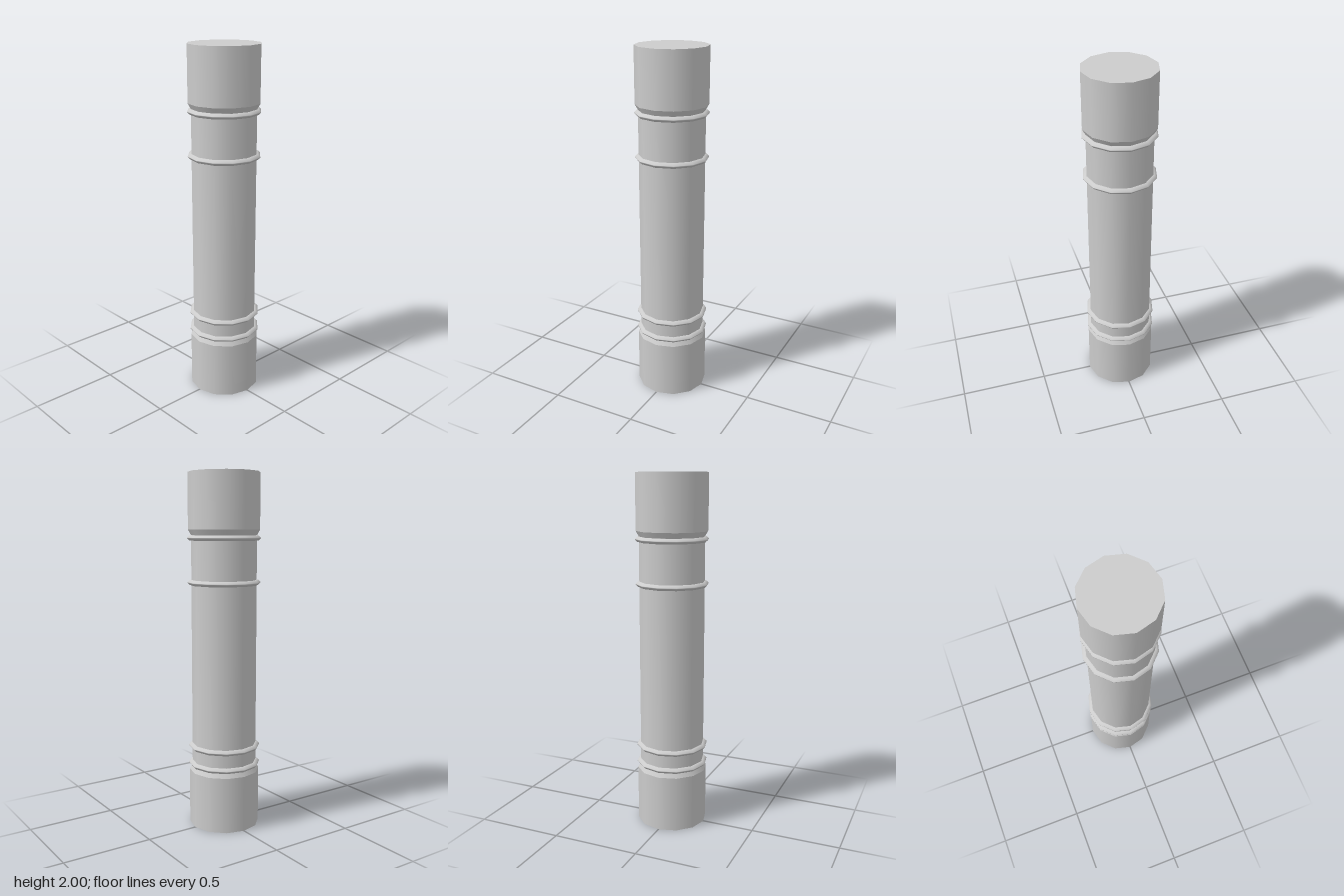
import * as THREE from 'three';

const SIDES = 12;
const R_END = 0.2, R_SHAFT = 0.183, R_RING = 0.204;

export function createModel() {
  const model = new THREE.Group();
  model.name = 'column';
  const stone = new THREE.MeshStandardMaterial({ color: 0xcccccc });
  stone.name = 'grey stone';

  const add = (name, geometry, y = 0) => {
    const mesh = new THREE.Mesh(geometry, stone);
    mesh.name = name;
    mesh.position.y = y;
    model.add(mesh);
  };

  // Twelve-sided section between two heights
  const section = (name, y0, y1, r0, r1, open) =>
    add(name, new THREE.CylinderGeometry(r1, r0, y1 - y0, SIDES, 1, open), (y0 + y1) / 2);

  // Base, shaft and capital, with bevels where the ends meet the shaft
  section('base', 0, 0.32, R_END, R_END, false);
  section('baseBevel', 0.32, 0.35, R_END, R_SHAFT, true);
  section('shaft', 0.35, 1.66, R_SHAFT, R_SHAFT, true);
  section('capitalBevel', 1.66, 1.69, R_SHAFT, R_END, true);
  section('capital', 1.69, 2, R_END, R_END, false);

  // Pointed rings around the shaft
  const ringProfile = [
    [R_SHAFT - 0.004, -0.015], [0.192, -0.014], [R_RING, -0.002],
    [R_RING, 0.002], [0.192, 0.014], [R_SHAFT - 0.004, 0.015],
  ].map(([r, y]) => new THREE.Vector2(r, y));
  [0.36, 0.463, 1.4, 1.645].forEach((y, i) =>
    add('ring' + (i + 1), new THREE.LatheGeometry(ringProfile, SIDES), y));

  return model;
}
